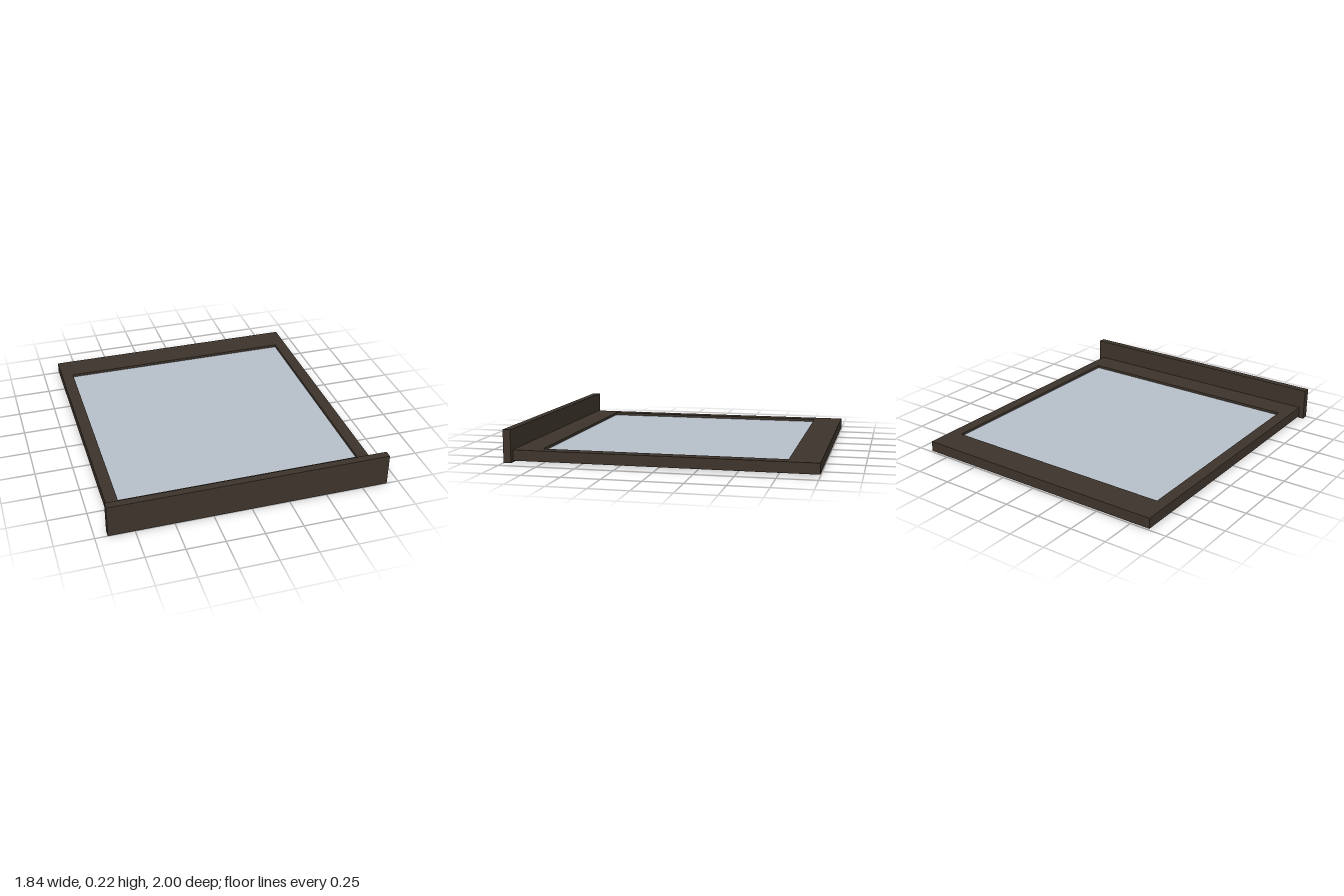
import * as THREE from 'three';

const wood = new THREE.MeshStandardMaterial({ color: 0x3d342b });
wood.name = 'dark wood';
const glass = new THREE.MeshStandardMaterial({ color: 0xb6bfca });
glass.name = 'pale glass';

// Rectangle in plan, given by its x and z limits
function rectangle(path, x, zBack, zFront) {
  path.moveTo(-x, -zFront);
  path.lineTo(x, -zFront);
  path.lineTo(x, -zBack);
  path.lineTo(-x, -zBack);
  path.closePath();
  return path;
}

// Box given by its half width and its y and z limits
function slab(name, x, y0, y1, z0, z1, material) {
  const mesh = new THREE.Mesh(new THREE.BoxGeometry(2 * x, y1 - y0, z1 - z0), material);
  mesh.position.set(0, (y0 + y1) / 2, (z0 + z1) / 2);
  mesh.name = name;
  return mesh;
}

export function createModel() {
  const group = new THREE.Group();
  group.name = 'glassShelfDrawer';

  // Flat frame with wide front and back rails and narrow side rails
  const outline = rectangle(new THREE.Shape(), 0.885, -1, 0.95);
  outline.holes.push(rectangle(new THREE.Path(), 0.805, -0.8, 0.775));
  const frameGeometry = new THREE.ExtrudeGeometry(outline, { depth: 0.07, bevelEnabled: false });
  frameGeometry.rotateX(-Math.PI / 2);
  const frame = new THREE.Mesh(frameGeometry, wood);
  frame.position.y = 0.01;
  frame.name = 'frame';
  group.add(frame);

  // Glass pane set slightly below the top of the frame
  group.add(slab('glassPane', 0.805, 0.025, 0.062, -0.8, 0.775, glass));

  // Upright front board, a little wider than the frame
  group.add(slab('frontBoard', 0.92, 0, 0.215, 0.95, 1, wood));

  return group;
}
